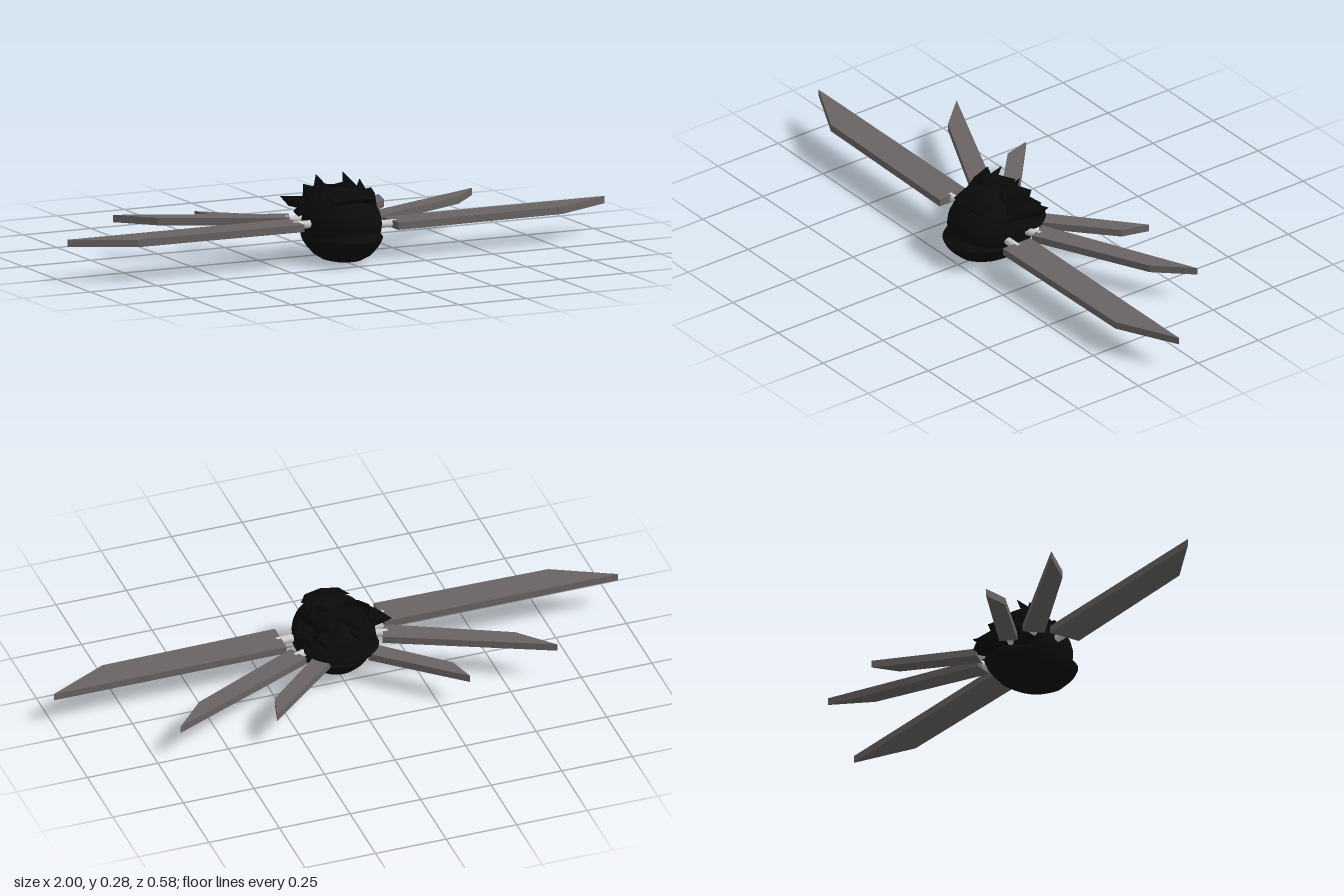
import * as THREE from 'three';
import { ConvexGeometry } from 'three/addons/geometries/ConvexGeometry.js';

const material = (name, color, side = THREE.FrontSide) => {
  const m = new THREE.MeshStandardMaterial({ color, side });
  m.name = name;
  return m;
};

export function createModel() {
  const model = new THREE.Group();
  model.name = 'wingedHead';
  const black = material('matte black', 0x0b0b0b, THREE.DoubleSide);
  const hairBlack = material('hair black', 0x090909);
  const bladeGrey = material('blade grey', 0x696363);
  const pinGrey = material('pin light grey', 0xcccccc);

  const add = (name, geometry, mat, parent = model) => {
    const mesh = new THREE.Mesh(geometry, mat);
    mesh.name = name;
    parent.add(mesh);
    return mesh;
  };
  const ellipsoid = (name, radii, centre, mat) => {
    const mesh = add(name, new THREE.SphereGeometry(1, 32, 20), mat);
    mesh.scale.set(...radii);
    mesh.position.set(...centre);
    return mesh;
  };

  // Head: rounded skull above a wider, sharp-rimmed jaw bowl
  ellipsoid('skull', [0.133, 0.117, 0.144], [0, 0.125, 0.121], black);
  const jawProfile = [[0, 0], [0.3, 0.001], [0.5, 0.008], [0.7, 0.024], [0.87, 0.05], [0.95, 0.067], [1, 0.085]];
  const jaw = add('jaw', new THREE.LatheGeometry(jawProfile.map(p => new THREE.Vector2(...p)), 40), black);
  const rim = add('jawRim', new THREE.LatheGeometry([new THREE.Vector2(1, 0.085), new THREE.Vector2(0.84, 0.108)], 40), black);
  for (const part of [jaw, rim]) {
    part.scale.set(0.13, 1, 0.167);
    part.position.z = 0.122;
  }

  // Hair: cap, rounded nape roll and pointed, swept-back tufts
  const cap = add('hairCap', new THREE.SphereGeometry(1, 32, 12, 0, Math.PI * 2, 0, 0.8), black);
  cap.scale.set(0.138, 0.121, 0.15);
  cap.position.set(0, 0.125, 0.12);
  ellipsoid('napeHair', [0.13, 0.026, 0.112], [0, 0.124, 0.032], hairBlack);

  const tufts = {
    browHair: [[0, 0.208, 0.222], [0.08, 0.2, 0.205], [0, 0.223, 0.235], [0.06, 0.22, 0.222], [0, 0.243, 0.17], [0.08, 0.228, 0.16]],
    crestTuft: [[0.05, 0.281, 0.03], [0.025, 0.225, 0.125], [0.085, 0.22, 0.125], [0.055, 0.254, 0.105], [0.03, 0.24, 0.07], [0.08, 0.24, 0.07]],
    outerTuft: [[0.105, 0.255, 0.045], [0.06, 0.225, 0.12], [0.115, 0.19, 0.13], [0.08, 0.25, 0.09], [0.08, 0.205, 0.05], [0.12, 0.2, 0.07]],
    middleTuft: [[0.045, 0.213, -0.022], [0, 0.25, 0.08], [0, 0.24, 0.035], [0.06, 0.255, 0.055], [0.1, 0.225, 0.06], [0, 0.2, 0.03], [0.09, 0.195, 0.03], [0.05, 0.211, 0.01]],
    lowerTuft: [[0.06, 0.16, -0.053], [0.02, 0.2, 0], [0.1, 0.2, 0.01], [0.115, 0.17, 0.05], [0.05, 0.167, 0.0], [0, 0.19, 0.04]],
    sideTuft: [[0.17, 0.212, 0.0], [0.115, 0.178, 0.155], [0.12, 0.21, 0.11], [0.15, 0.205, 0.07], [0.152, 0.182, 0.03], [0.11, 0.18, 0.02], [0.1, 0.21, 0.03]],
    napeTuft: [[0.11, 0.15, -0.02], [0.07, 0.19, 0.02], [0.125, 0.19, 0.06], [0.13, 0.148, 0.06], [0.05, 0.15, 0.01]],
  };
  for (const side of [1, -1]) {
    for (const [name, points] of Object.entries(tufts)) {
      const corners = points.map(([x, y, z]) => new THREE.Vector3(x * side, y, z));
      add(name, new ConvexGeometry(corners), hairBlack);
    }
  }

  // Blades: flat plates outlined in x and z, each on a light pin
  const blades = [
    { name: 'frontBlade', outline: [[0.175, 0.08], [1, 0.08], [0.79, 0.187], [0.175, 0.195]], pin: [[0.11, 0.14], [0.19, 0.14]] },
    { name: 'middleBlade', outline: [[0.165, 0.065], [0.135, -0.003], [0.668, -0.245], [0.56, -0.128]], pin: [[0.1, 0.055], [0.165, 0.03]] },
    { name: 'rearBlade', outline: [[0.108, -0.005], [0.068, -0.052], [0.342, -0.289], [0.316, -0.194]], pin: [[0.05, 0.01], [0.1, -0.035]] },
  ];
  for (const side of [1, -1]) {
    for (const { name, outline, pin } of blades) {
      const wing = new THREE.Group();
      wing.name = name;
      wing.position.y = side < 0 && name !== 'rearBlade' ? 0.123 : 0.1;
      model.add(wing);

      const shape = new THREE.Shape(outline.map(([x, z]) => new THREE.Vector2(x * side, -z)));
      const plate = new THREE.ExtrudeGeometry(shape, { depth: 0.025, bevelEnabled: false });
      add('bladePlate', plate.rotateX(-Math.PI / 2), bladeGrey, wing);

      const [start, end] = pin.map(([x, z]) => new THREE.Vector3(x * side, 0.0135, z));
      const rod = add('bladePin', new THREE.CylinderGeometry(0.0135, 0.0135, start.distanceTo(end), 16), pinGrey, wing);
      rod.position.copy(start).lerp(end, 0.5);
      rod.quaternion.setFromUnitVectors(new THREE.Vector3(0, 1, 0), end.sub(start).normalize());
    }
  }
  return model;
}
